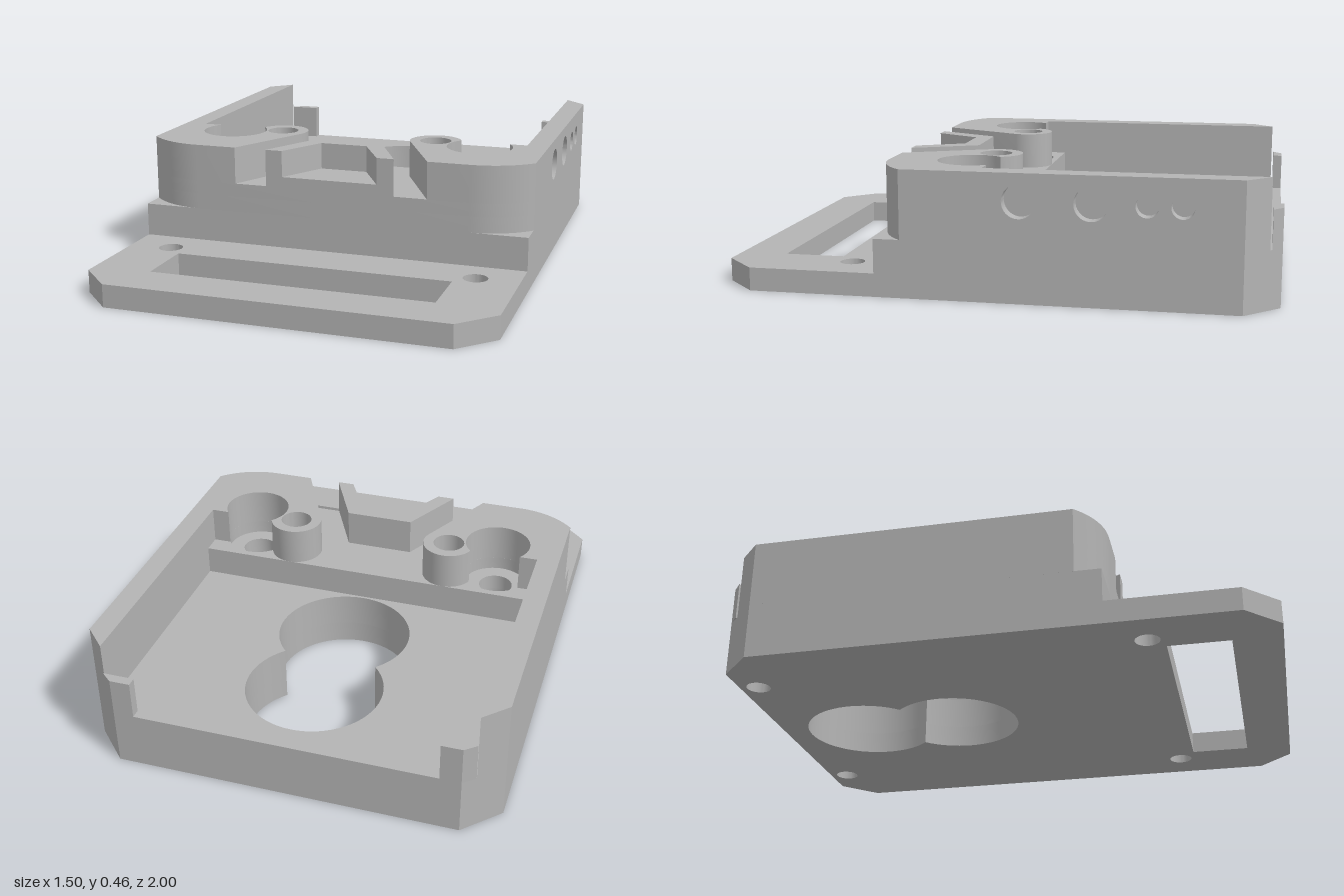
import * as THREE from 'three';
import { toCreasedNormals } from 'three/addons/utils/BufferGeometryUtils.js';

const RAD = Math.PI / 180;
const mirrorX = (pts) => pts.map(([x, z]) => [-x, z]).reverse();

// Points on an arc in the (x, z) plane, angles in degrees
function arc(cx, cz, r, from, to, n = 32) {
  return Array.from({ length: n + 1 }, (_, i) => {
    const a = (from + (to - from) * i / n) * RAD;
    return [cx + r * Math.cos(a), cz + r * Math.sin(a)];
  });
}
const circle = (x, z, r) => arc(x, z, r, 0, 360, 40).slice(0, -1);
const pair = (x, z, r) => [circle(x, z, r), circle(-x, z, r)];

export function createModel() {
  const group = new THREE.Group();
  const grey = new THREE.MeshStandardMaterial({ color: 0xb4b4b4 });
  grey.name = 'grey plastic';

  function extrude(outline, holes, depth) {
    const vec = (pts) => pts.map(([x, z]) => new THREE.Vector2(x, -z));
    const shape = new THREE.Shape(vec(outline));
    for (const h of holes) shape.holes.push(new THREE.Path(vec(h)));
    return new THREE.ExtrudeGeometry(shape, { depth, bevelEnabled: false });
  }
  function add(name, geometry) {
    const mesh = new THREE.Mesh(toCreasedNormals(geometry, 30 * RAD), grey);
    mesh.name = name;
    group.add(mesh);
  }
  // Horizontal slab between two heights
  function slab(name, outline, holes, y0, y1) {
    add(name, extrude(outline, holes, y1 - y0).rotateX(-Math.PI / 2).translate(0, y0, 0));
  }

  // Keyhole-like opening made of two overlapping circles
  const twinHole = [
    ...arc(0, -0.655, 0.25, 45.2, -225.2, 48),
    ...arc(0, -0.3, 0.25, 225.2, -45.2, 48).slice(1, -1),
  ];
  const bossHoles = pair(0.315, 0.06, 0.06);
  const screwHoles = pair(0.5, 0.11, 0.065);
  const pockets = pair(0.5, 0.11, 0.125);

  // Base plate with strap slot and screw holes
  const plate = [[0.625, 1], [0.75, 0.875], [0.75, -0.875], [0.625, -1]];
  const slot = [[-0.53, 0.6], [0.52, 0.6], [0.52, 0.825], [-0.53, 0.825]];
  slab('basePlate', [...plate, ...mirrorX(plate)],
    [slot, twinHole, ...pair(0.59, 0.54, 0.045), ...pair(0.49, -0.93, 0.045)], 0, 0.085);

  // Tray floor
  const floor = [[0.75, 0.41], [0.75, -0.875], [0.625, -1]];
  slab('trayFloor', [...floor, ...mirrorX(floor)], [twinHole, ...screwHoles], 0.085, 0.21);

  // Outer side of the walls: rounded front corner, rebate for the side panel, chamfered rear
  const side = [
    ...arc(0.53, 0.11, 0.3, 90, 42.8, 12),
    [0.75, 0], [0.7, 0], [0.7, -0.86], [0.75, -0.86], [0.75, -0.875], [0.667, -0.958],
  ];

  // Lower front block joined to both walls
  const lower = [...side, [0.667, -0.04]];
  const lowerOutline = [...lower, ...mirrorX(lower)];
  slab('lowerBlock', lowerOutline, [...screwHoles, ...bossHoles], 0.21, 0.27);
  slab('pocketBlock', lowerOutline, [...pockets, ...bossHoles], 0.27, 0.32);

  // Upper walls with open pocket and round boss
  const upper = [
    ...side, [0.667, 0.035],
    ...arc(0.5, 0.11, 0.125, -36.9, 223, 40),
    ...arc(0.315, 0.06, 0.1, -20.6, -200, 28).slice(1),
    [0.375, 0.41],
  ];
  slab('leftUpperWall', upper, [bossHoles[0]], 0.32, 0.46);
  slab('rightUpperWall', mirrorX(upper), [bossHoles[1]], 0.32, 0.46);

  // Side panels, the one on +x with blind round holes
  const panel = [[0, -0.21], [0.86, -0.21], [0.86, -0.46], [0, -0.46]];
  const ports = [[0.11, 0.06], [0.36, 0.06], [0.55, 0.04], [0.67, 0.04]]
    .map(([d, r]) => circle(d, -0.36, r));
  for (const s of [1, -1]) {
    add(s > 0 ? 'leftSidePanel' : 'rightSidePanel',
      extrude(panel, s > 0 ? ports : [], 0.05).rotateY(Math.PI / 2).translate(s > 0 ? 0.7 : -0.75, 0, 0));
  }

  // Trapezoid rail at the front with a raised floor inside
  const outer = [[0.25, 0.41], [0.13, 0.17]];
  const inner = [[0.185, 0.41], [0.09, 0.235]];
  slab('railFloor', [...outer, ...mirrorX(outer)], [], 0.32, 0.36);
  slab('rail', [...outer, ...mirrorX(outer), ...mirrorX(inner).reverse(), ...inner.slice().reverse()],
    [], 0.36, 0.46);

  // Short rear stop posts
  const post = [[0.55, -0.965], [0.667, -0.965], [0.66, -0.965], [0.625, -1], [0.55, -1]]
    .filter(([x]) => x !== 0.66);
  slab('leftStop', post, [], 0.21, 0.35);
  slab('rightStop', mirrorX(post), [], 0.21, 0.35);

  return group;
}
